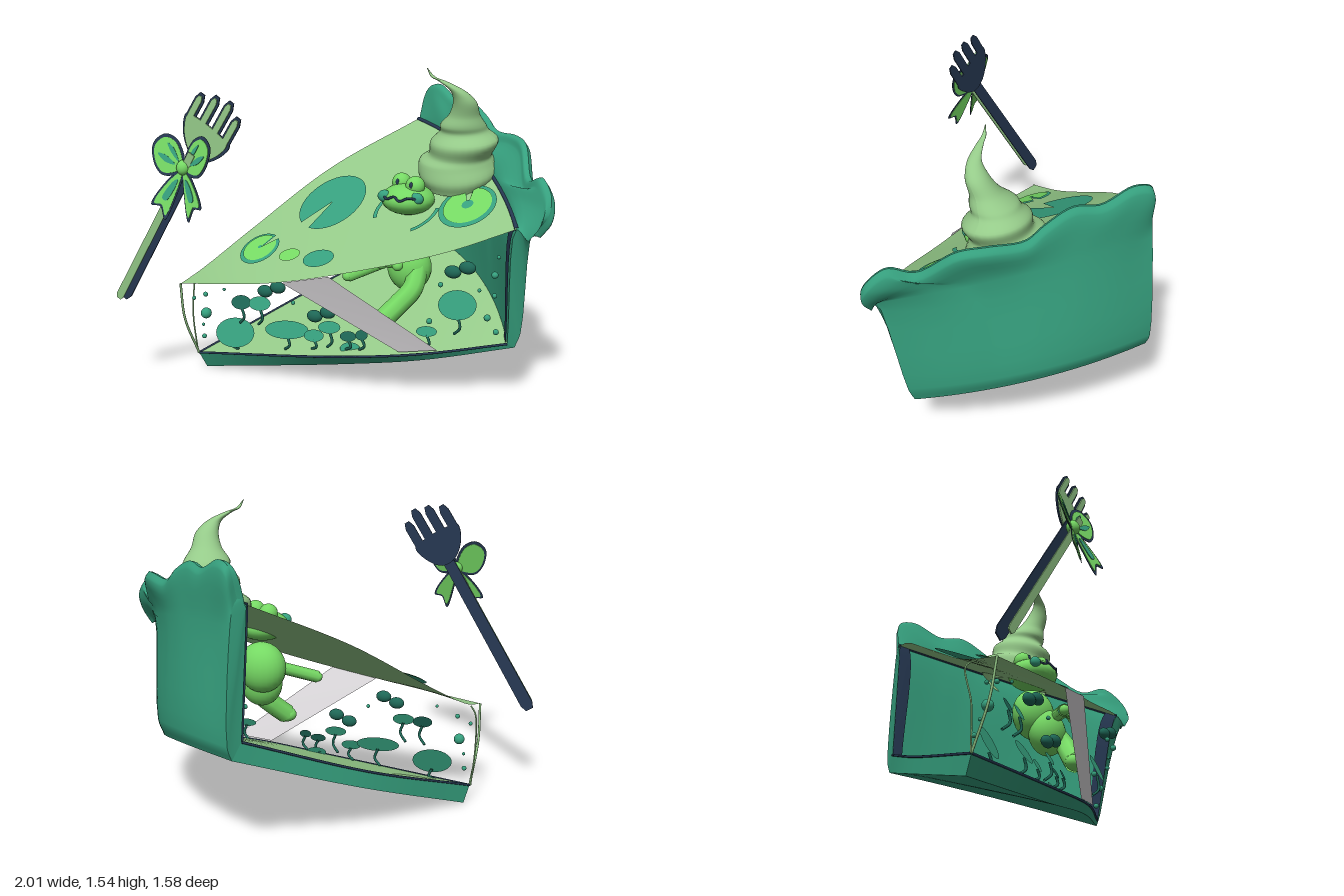
import * as THREE from 'three';

const mat = (name, color) => new THREE.MeshStandardMaterial({ name, color, side: THREE.DoubleSide });
const M = {
  crust: mat('crust teal', 0x36a07e), pale: mat('pale green', 0x95ca89), bright: mat('bright green', 0x76d964),
  navy: mat('dark navy', 0x263852), deep: mat('deep teal', 0x1e6756), grey: mat('light grey', 0xe0dde0),
};
const V = (a) => new THREE.Vector3(...a);
const spline = (pts, closed = false) => new THREE.CatmullRomCurve3(pts.map(V), closed, 'centripetal');
const mix = (a, b, t) => a.clone().lerp(b, t);

export function createModel() {
  const root = new THREE.Group();
  const add = (name, geo, m, parent = root) => {
    const mesh = new THREE.Mesh(geo, m);
    mesh.name = name;
    parent.add(mesh);
    return mesh;
  };
  // Surface from a rule f(u, v) -> point
  const patch = (name, f, nu, nv, m) => {
    const g = new THREE.PlaneGeometry(1, 1, nu, nv);
    const uv = g.attributes.uv, p = g.attributes.position;
    for (let i = 0; i < p.count; i++) p.setXYZ(i, ...f(uv.getX(i), uv.getY(i)).toArray());
    g.computeVertexNormals();
    return add(name, g, m);
  };
  const tube = (name, pts, r, m, seg = 28) => add(name, new THREE.TubeGeometry(spline(pts), seg, r, 8), m);
  const ball = (name, pos, s, m, parent = root) => {
    const b = add(name, new THREE.SphereGeometry(1, 24, 16), m, parent);
    b.position.set(...pos);
    b.scale.set(...(Array.isArray(s) ? s : [s, s, s]));
  };

  // Edges of the slice: left and front cuts at top, floor and underside
  const bulge = (k) => V([0.062 * k, 0.04 * k, -0.059 * k]);
  const arc = (a, b, k) => (t) => mix(V(a), V(b), t).add(bulge(k * 4 * t * (1 - t)));
  const topL = spline([[-0.77, 0.49, 0.46], [-0.74, 0.53, 0.3], [-0.6, 0.69, 0.03], [-0.33, 0.96, -0.34], [0.02, 1.19, -0.69]]);
  const topF = spline([[-0.77, 0.49, 0.46], [-0.25, 0.56, 0.46], [0.2, 0.66, 0.38], [0.55, 0.76, 0.3], [0.84, 0.87, 0.18]]);
  const floorL = spline([[-0.76, 0.09, 0.33], [-0.4, 0.31, -0.22], [0.04, 0.57, -0.72]]);
  const floorF = spline([[-0.76, 0.09, 0.33], [0, 0.17, 0.29], [0.4, 0.225, 0.23], [0.78, 0.28, 0.07]]);
  const underL = spline([[-0.74, 0.005, 0.29], [-0.38, 0.24, -0.26], [0.07, 0.49, -0.76]]);
  const underF = spline([[-0.74, 0.005, 0.29], [0, 0.115, 0.24], [0.4, 0.185, 0.2], [0.81, 0.26, 0.05]]);
  const wedge = (l, f, k) => (t, s) => mix(l.getPointAt(s), f.getPointAt(s), t).add(bulge(k * s * s * 4 * t * (1 - t)));
  patch('pieTop', wedge(topL, topF, 1), 24, 32, M.pale);
  patch('pieFloor', wedge(floorL, floorF, 1), 24, 32, M.pale);
  patch('crustUnderside', wedge(underL, underF, 1.5), 24, 32, M.crust);
  patch('crustFrontEdge', (u, v) => mix(underF.getPointAt(u), floorF.getPointAt(u), v), 32, 1, M.crust);
  patch('crustLeftEdge', (u, v) => mix(underL.getPointAt(u), floorL.getPointAt(u), v), 32, 1, M.crust);

  // Back crust wall with scalloped, flared rim
  const rim = spline([[0.05, 1.22, -0.72], [0.08, 1.36, -0.74], [0.15, 1.38, -0.69], [0.27, 1.32, -0.605], [0.37, 1.33, -0.525],
    [0.48, 1.27, -0.455], [0.55, 1.21, -0.405], [0.68, 1.21, -0.3], [0.76, 1.19, -0.2], [0.84, 1.06, -0.03],
    [0.92, 1.09, 0.06], [0.98, 1.02, 0.13], [0.98, 0.94, 0.17], [0.93, 0.87, 0.17]]);
  const rimAt = (dx, dy, dz) => (t) => rim.getPoint(t).add(V([dx, dy, dz]));
  const wallTop = arc([0.02, 1.19, -0.69], [0.84, 0.87, 0.18], 1);
  const wallFoot = arc([0.04, 0.57, -0.72], [0.78, 0.28, 0.07], 1);
  const innerRows = [wallFoot, wallTop, rimAt(-0.03, -0.045, 0.025), rimAt(-0.018, -0.008, 0.014), rimAt(0, 0, 0)];
  const outerRows = [arc([0.07, 0.49, -0.76], [0.81, 0.26, 0.05], 1.5), arc([0.08, 0.56, -0.785], [0.84, 0.34, 0.06], 1.6),
    arc([0.07, 1.1, -0.755], [0.91, 0.86, 0.15], 1.4), rimAt(0.012, -0.035, -0.02), rimAt(0, 0, 0)];
  const wall = (rows) => (t, v) => new THREE.CatmullRomCurve3(rows.map((r) => r(t)), false, 'centripetal').getPoint(v);
  const inner = wall(innerRows), outer = wall(outerRows);
  patch('crustInnerWall', inner, 72, 20, M.crust);
  patch('crustOuterWall', outer, 72, 20, M.crust);
  for (const t of [0, 1]) patch('crustWallEnd', (u, v) => mix(inner(t, v), outer(t, v), u), 2, 20, M.crust);

  // Dark seams, pale tip edge and the grey band across the front
  const line = (f) => Array.from({ length: 13 }, (_, i) => f(i / 12).toArray());
  tube('floorFrontSeam', line((t) => floorF.getPointAt(t)), 0.006, M.navy);
  tube('floorLeftSeam', line((t) => floorL.getPointAt(t)), 0.006, M.navy);
  tube('topSeam', line(wallTop), 0.01, M.navy);
  for (const t of [0, 0.955]) patch('wallSeam', (u, v) => inner(t + 0.045 * u, 0.25 * v).add(V([-0.006, 0, 0.006])), 3, 10, M.navy);
  tube('tipEdge', [[-0.77, 0.49, 0.46], [-0.775, 0.3, 0.425], [-0.76, 0.09, 0.33]], 0.006, M.pale);
  tube('tipEdge', [[-0.75, 0.51, 0.34], [-0.78, 0.48, 0.31], [-0.78, 0.3, 0.34], [-0.765, 0.09, 0.33]], 0.004, M.pale);
  const band = [[-0.21, 0.565, 0.46], [0.02, 0.615, 0.43], [0.3, 0.225, 0.245], [0.48, 0.25, 0.21]].map(V);
  patch('greyBand', (u, v) => mix(mix(band[0], band[1], u), mix(band[2], band[3], u), v), 2, 4, M.grey);

  // Lily pads lying on the sloping top
  const tilt = new THREE.Quaternion().setFromUnitVectors(V([0, 1, 0]), V([-0.146, 1, 0.507]).normalize());
  const topY = (x, z) => 0.837 + 0.146 * x - 0.507 * z;
  const onTop = (name, geo, m, x, z, sx, sz, lift) => {
    const p = add(name, geo.rotateX(-Math.PI / 2).scale(sx, 1, sz / 0.89), m);
    p.quaternion.copy(tilt);
    p.position.set(x, topY(x, z) + lift, z);
  };
  const disc = (notch, half) => new THREE.CircleGeometry(1, 40, notch + half, Math.PI * 2 - 2 * half);
  onTop('largePad', disc(-2.1, 0.2), M.crust, -0.19, -0.06, 0.17, 0.19, 0.008);
  for (const [x, z, r, a, c] of [[-0.44, 0.25, 0.1, 0.9, 0.1], [0.55, 0.02, 0.14, 1.8, 0.2]]) {
    onTop('padRim', disc(a, 0.16), M.crust, x, z, r, r, 0.008);
    onTop('padFace', disc(a, 0.2), M.bright, x, z, r * 0.84, r * 0.84, 0.013);
    onTop('padCentre', disc(0, 0), M.crust, x, z, r * c, r * c, 0.017);
  }
  onTop('smallPad', disc(0, 0), M.bright, -0.25, 0.3, 0.055, 0.04, 0.009);
  onTop('smallPad', disc(0, 0), M.crust, -0.08, 0.33, 0.08, 0.055, 0.009);
  for (const [r, a, l] of [[0.17, 2.5, 1], [0.17, -1.1, 1.1]])
    onTop('ripple', new THREE.RingGeometry(r - 0.02, r, 24, 1, a, l), M.crust, 0.245, 0.02, 1, 1, 0.009);

  // Frog: head above the surface, body below it
  ball('frogHead', [0.245, 0.92, 0.01], [0.13, 0.075, 0.125], M.bright);
  for (const [x, z] of [[0.2, -0.02], [0.29, 0.03]]) {
    ball('frogEye', [x, 0.99, z], 0.047, M.bright);
    ball('frogPupil', [x - 0.005, 1.0, z + 0.042], [0.009, 0.016, 0.008], M.navy);
  }
  tube('frogMouth', [[0.15, 0.95, 0.09], [0.18, 0.935, 0.12], [0.22, 0.95, 0.126], [0.25, 0.933, 0.136], [0.29, 0.948, 0.124], [0.33, 0.94, 0.1]], 0.006, M.navy);
  for (const x of [0.155, 0.318]) ball('frogCheek', [x, 0.94, 0.085], [0.035, 0.03, 0.025], M.crust);
  ball('frogBody', [0.25, 0.7, 0.01], [0.125, 0.13, 0.1], M.bright);
  ball('frogHip', [0.28, 0.6, 0.07], [0.11, 0.12, 0.09], M.bright);
  tube('frogLeg', [[0.33, 0.62, 0.08], [0.33, 0.52, 0.15], [0.28, 0.45, 0.2], [0.22, 0.38, 0.26]], 0.052, M.bright);
  ball('frogFoot', [0.22, 0.38, 0.26], [0.055, 0.04, 0.045], M.bright);
  tube('frogArm', [[0.28, 0.68, 0.13], [0.18, 0.64, 0.21], [0.06, 0.59, 0.3]], 0.032, M.bright);
  for (const [x, y] of [[0.06, 0.59], [0.2, 0.645], [0.24, 0.655], [0.28, 0.645]]) ball('frogFinger', [x, y, x < 0.1 ? 0.3 : 0.22], 0.026, M.bright);

  // Whipped cream swirl: rings along a curling axis
  const rings = [[0.42, 0.97, -0.2, 0.16], [0.41, 1.03, -0.2, 0.192], [0.415, 1.09, -0.2, 0.183], [0.44, 1.125, -0.2, 0.155],
    [0.45, 1.19, -0.19, 0.165], [0.455, 1.235, -0.18, 0.12], [0.46, 1.27, -0.165, 0.11], [0.47, 1.32, -0.14, 0.075],
    [0.48, 1.39, -0.1, 0.055], [0.46, 1.44, -0.07, 0.035], [0.39, 1.485, -0.05, 0.018], [0.345, 1.505, -0.04, 0.011], [0.32, 1.545, -0.03, 0.002]];
  const axis = spline(rings.map((r) => r.slice(0, 3)));
  const radius = new THREE.SplineCurve(rings.map((r, i) => new THREE.Vector2(i, r[3])));
  patch('whippedCream', (u, v) => {
    const a = u * Math.PI * 2, c = axis.getPoint(v);
    const r = radius.getPoint(v).y * (1 + 0.05 * Math.sin(a + v * 22));
    return c.add(V([Math.cos(a) * r, -Math.sin(a) * r * 0.2 * (1 - v), Math.sin(a) * r * 0.92]));
  }, 32, 60, M.pale);

  // Water plants and bubbles just inside the front cut
  const frontZ = (x, y) => {
    const low = 0.29 - 0.05 * x - 0.3 * Math.max(x, 0) ** 2, floorY = 0.175 + 0.11 * x;
    return low + (0.15 + 0.02 * x) * Math.min(1, (y - floorY) / 0.45);
  };
  const leaves = [[-0.57, 0.21, 0.1, 0.075, 0], [-0.28, 0.265, 0.11, 0.045, 0], [-0.14, 0.25, 0.05, 0.03, 0], [-0.05, 0.31, 0.055, 0.03, 0],
    [0.04, 0.2, 0.05, 0.03, 0], [0.57, 0.48, 0.09, 0.07, 0], [0.42, 0.33, 0.05, 0.025, 0], [-0.5, 0.395, 0.05, 0.035, 1], [-0.4, 0.4, 0.055, 0.035, 0],
    [0.04, 0.27, 0.04, 0.025, 1], [0.11, 0.285, 0.03, 0.025, 1]];
  for (const [x, y, w, h, dark] of leaves) {
    const z = frontZ(x, y) - 0.06, foot = Math.max(y - h - 0.08, 0.19 + 0.12 * x);
    const leaf = add('waterLeaf', new THREE.CircleGeometry(1, 28).scale(w, h, 1), dark ? M.deep : M.crust);
    leaf.position.set(x, y, z);
    leaf.rotation.set(-0.35, 0.2, 0.1);
    if (y - h > foot) tube('leafStem', [[x, y - h * 0.6, z], [x + 0.015, (y - h + foot) / 2, z], [x - 0.02, foot, z - 0.02]], 0.007, M.deep, 10);
  }
  for (const [x, y] of [[-0.32, 0.49], [-0.08, 0.38], [0.6, 0.67]]) {
    for (const d of [-0.035, 0.035]) ball('berry', [x + d, y + d * 0.4, frontZ(x, y) - 0.06], [0.04, 0.03, 0.025], M.deep);
  }
  for (const [x, y, r] of [[-0.69, 0.32, 0.027], [-0.73, 0.18, 0.012], [-0.74, 0.4, 0.01], [-0.67, 0.43, 0.012], [-0.72, 0.25, 0.008], [-0.56, 0.47, 0.008],
    [-0.2, 0.44, 0.01], [0.45, 0.4, 0.014], [0.7, 0.42, 0.016], [0.74, 0.54, 0.012], [0.75, 0.65, 0.016], [0.68, 0.57, 0.009], [0.77, 0.74, 0.009], [0.52, 0.6, 0.012], [0.73, 0.34, 0.014]])
    ball('bubble', [x, y, frontZ(x, y) - 0.03], r, M.crust);

  // Fork: pale plates over slightly larger navy plates
  const fork = new THREE.Group();
  fork.name = 'fork';
  fork.position.set(-0.56, 1.12, 0.66);
  fork.rotation.z = -0.57;
  root.add(fork);
  const plate = (pts, depth) => new THREE.ExtrudeGeometry(new THREE.Shape(pts.map((p) => new THREE.Vector2(...p))), { depth, bevelEnabled: false });
  const smooth = (pts) => spline(pts.map(([x, y]) => [x, y, 0]), true).getPoints(40).map((p) => [p.x, p.y]);
  for (const [m, e, z, hz] of [[M.pale, 0, 0, 0.06], [M.navy, 0.013, -0.007, 0.01]]) {
    const w = 0.02 + e;
    const handle = add('forkHandle', plate([[-w, -0.78], [-w * 0.6, -0.8 - e], [w * 0.6, -0.8 - e], [w, -0.78], [w * 0.9, 0.1], [-w * 0.9, 0.1]], 0.006), m, fork);
    handle.position.z = hz;
    handle.rotation.x = 0.074;
    add('forkHead', plate(smooth([[-0.03 - e, 0.06], [0.02 + e, 0.06], [0.08 + e, 0.13], [0.098 + e, 0.21], [0.05, 0.225], [-0.08, 0.225], [-0.135 - e, 0.21], [-0.11 - e, 0.13]]), 0.006), m, fork).position.z = z;
    for (const [x, y] of [[-0.122, 0.32], [-0.053, 0.355], [0.018, 0.375], [0.083, 0.335]]) {
      const t = 0.015 + e * 0.75;
      add('forkTine', plate([[x - t, 0.19], [x + t, 0.19], [x + t, y - 0.02], [x + t * 0.5, y + e], [x - t * 0.5, y + e], [x - t, y - 0.02]], 0.006), m, fork).position.z = z;
    }
  }

  // Bow tied round the fork, with a dark edge between bright faces
  const bow = new THREE.Group();
  bow.name = 'bow';
  bow.position.set(-0.56, 1.13, 0.715);
  bow.rotation.x = -0.25;
  root.add(bow);
  const loop = [[0, 0], [0.04, 0.12], [0.1, 0.145], [0.15, 0.1], [0.14, 0.02], [0.1, -0.03], [0.05, -0.03]];
  const tail = [[0, 0], [0.06, -0.05], [0.13, -0.17], [0.09, -0.175], [0.065, -0.23], [0.025, -0.13]];
  const stripes = [[[0.025, 0.03], [0.055, 0.09], [0.085, 0.11], [0.065, 0.07]], [[0.04, 0.015], [0.09, 0.055], [0.125, 0.06], [0.09, 0.025]],
    [[0.02, -0.05], [0.04, -0.06], [0.085, -0.14], [0.065, -0.15]]];
  for (const side of [-1, 1]) {
    const half = new THREE.Group();
    half.rotation.y = -side * 0.25;
    bow.add(half);
    const part = (name, pts, m, k, z, depth) => {
      const c = pts.reduce((s, p) => [s[0] + p[0] / pts.length, s[1] + p[1] / pts.length], [0, 0]);
      const q = pts.map(([x, y]) => [side * (c[0] + (x - c[0]) * k), c[1] + (y - c[1]) * k]);
      add(name, plate(smooth(q), depth), m, half).position.z = z;
    };
    part('bowLoop', loop, M.bright, 0.9, -0.004, 0.009);
    part('bowLoopEdge', loop, M.navy, 1.06, -0.001, 0.003);
    part('bowTail', tail, M.bright, 0.88, -0.0035, 0.008);
    part('bowTailEdge', tail, M.navy, 1.08, -0.0005, 0.002);
    for (const s of stripes) part('bowStripe', s, M.crust, 1, 0.004, 0.004);
  }
  ball('bowKnot', [0, 0.005, 0.005], [0.032, 0.035, 0.03], M.bright, bow);
  return root;
}
